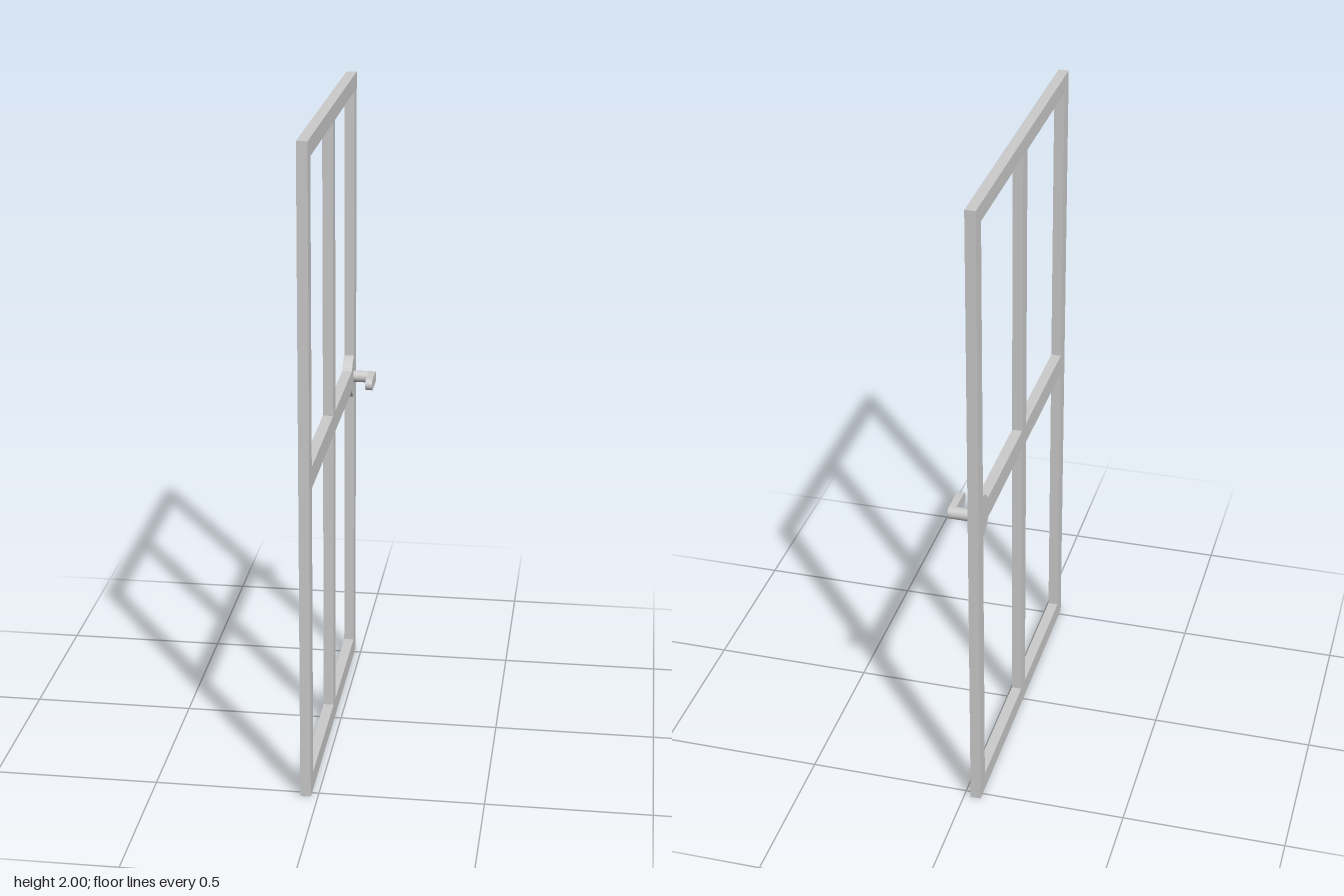
import * as THREE from 'three';

const HALF_W = 0.525, HEIGHT = 2, PANE_OUT = 0.474, PANE_IN = 0.024;
const MID_Y = 1.007, RAIL = 0.033, BOSS_X = 0.482, BOSS_R = 0.07;
const FRAME_BACK = -0.053, FRAME_FRONT = -0.021;

// Extrude a (-z, y) outline along x, from x0 to x1
function slab(shape, x0, x1, curveSegments) {
  const geo = new THREE.ExtrudeGeometry(shape, { depth: x1 - x0, bevelEnabled: false, curveSegments });
  geo.rotateY(Math.PI / 2);
  geo.translate(x0, 0, 0);
  return geo;
}

// Opening for one pane; side is -1 or 1, up is -1 or 1
function paneHole(side, up) {
  const near = MID_Y + up * RAIL;
  const far = up > 0 ? 1.948 : 0.058;
  const pts = [[PANE_IN, near], [PANE_IN, far], [PANE_OUT, far]];
  if (side > 0) {
    // rounded boss around the handle bites into the pane corner
    const a0 = Math.acos((PANE_OUT - BOSS_X) / BOSS_R);
    const a1 = Math.PI - Math.asin(RAIL / BOSS_R);
    for (let i = 0; i <= 5; i++) {
      const a = a0 + (a1 - a0) * i / 5;
      pts.push([BOSS_X + BOSS_R * Math.cos(a), MID_Y + up * BOSS_R * Math.sin(a)]);
    }
  } else {
    pts.push([PANE_OUT, near]);
  }
  return new THREE.Path(pts.map(([x, y]) => new THREE.Vector2(side * x, y)));
}

export function createModel() {
  const model = new THREE.Group();
  const material = new THREE.MeshStandardMaterial({ color: 0xcccccc });

  // Frame with four open panes
  const outline = new THREE.Shape([
    new THREE.Vector2(-HALF_W, 0), new THREE.Vector2(HALF_W, 0),
    new THREE.Vector2(HALF_W, HEIGHT), new THREE.Vector2(-HALF_W, HEIGHT),
  ]);
  for (const side of [-1, 1]) for (const up of [-1, 1]) outline.holes.push(paneHole(side, up));
  const frame = new THREE.Mesh(slab(outline, FRAME_BACK, FRAME_FRONT), material);
  frame.name = 'windowFrame';
  model.add(frame);

  // Handle: round post and a lever with rounded ends
  const handle = new THREE.Group();
  handle.name = 'handle';
  const r = 0.0187, postX = 0.4725, tipX = 0.394;

  const postGeo = new THREE.CylinderGeometry(r, r, 0.06, 20);
  postGeo.rotateZ(Math.PI / 2);
  const post = new THREE.Mesh(postGeo, material);
  post.position.set(0.005, MID_Y, -postX);
  post.name = 'handlePost';

  const pill = new THREE.Shape();
  pill.absarc(postX, MID_Y, r, -Math.PI / 2, Math.PI / 2, false);
  pill.absarc(tipX, MID_Y, r, Math.PI / 2, Math.PI * 1.5, false);
  const lever = new THREE.Mesh(slab(pill, 0.028, 0.05, 10), material);
  lever.name = 'handleLever';

  handle.add(post, lever);
  model.add(handle);
  return model;
}
